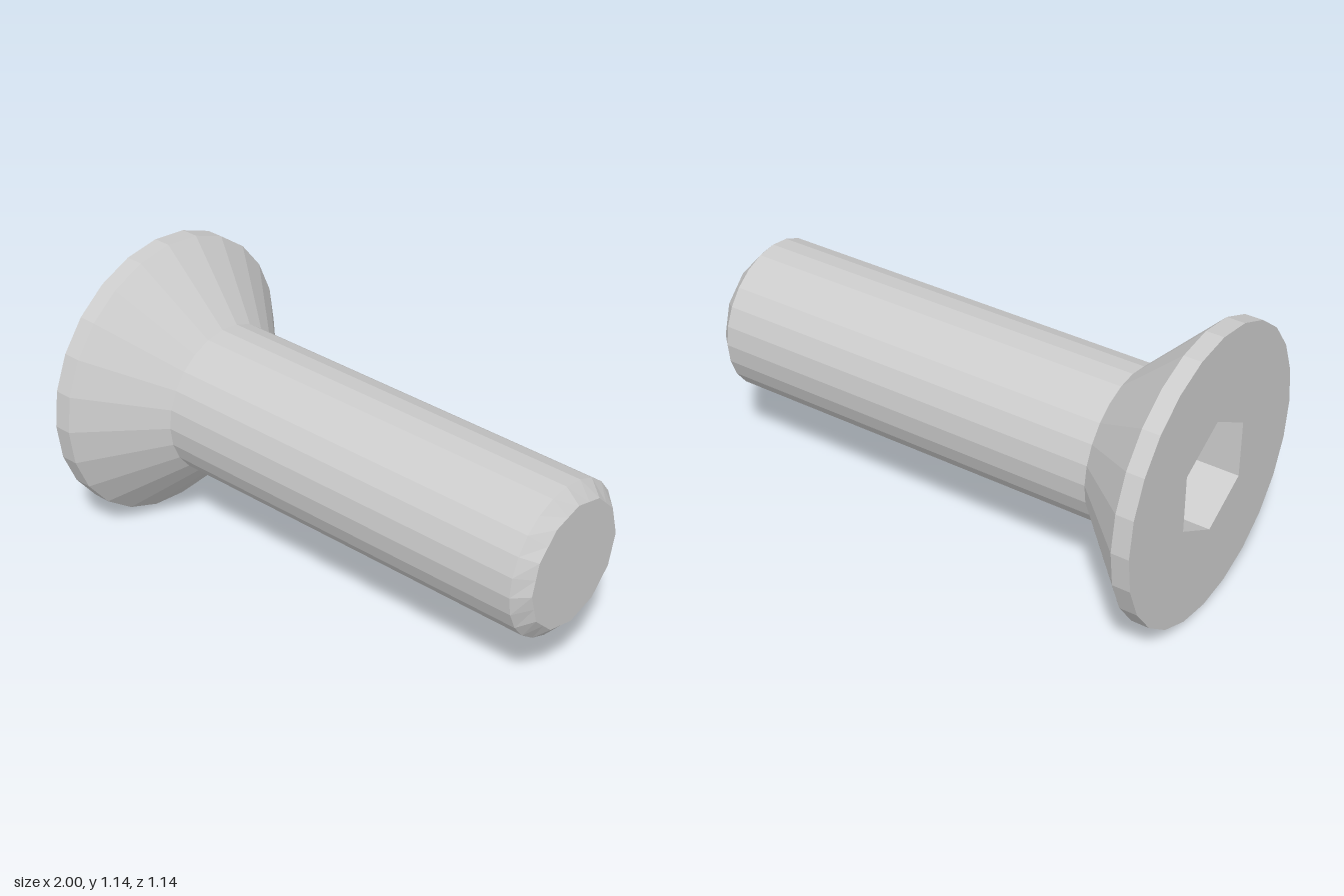
import * as THREE from 'three';

const SIDES = 24;
const HEAD_R = 0.57, SHAFT_R = 0.3, TIP_R = 0.246;
const SOCKET_R = 0.23, SOCKET_DEPTH = 0.25;

// Revolve [radius, x] pairs around the x axis
function revolve(profile, sides, start = 0) {
  const points = profile.map(([r, x]) => new THREE.Vector2(r, x));
  return new THREE.LatheGeometry(points, sides, start).rotateZ(-Math.PI / 2);
}

// Regular polygon outline
function polygon(radius, sides, start = 0) {
  return Array.from({ length: sides }, (_, i) => {
    const a = start + (i / sides) * Math.PI * 2;
    return new THREE.Vector2(radius * Math.cos(a), radius * Math.sin(a));
  });
}

export function createModel() {
  const material = new THREE.MeshStandardMaterial({ color: 0xcccccc, flatShading: true });
  const screw = new THREE.Group();
  screw.name = 'countersunkScrew';

  const add = (name, geometry) => {
    const mesh = new THREE.Mesh(geometry, material);
    mesh.name = name;
    mesh.position.y = HEAD_R;
    screw.add(mesh);
  };

  // Head: short rim and countersunk cone
  add('head', revolve([[HEAD_R, -1], [HEAD_R, -0.93], [SHAFT_R, -0.66]], SIDES));

  // Flat head face with a hexagonal opening, closing the outer end of the head
  const face = new THREE.Shape(polygon(HEAD_R, SIDES));
  face.holes.push(new THREE.Path(polygon(SOCKET_R, 6, Math.PI / 6)));
  add('headFace', new THREE.ShapeGeometry(face).rotateY(-Math.PI / 2).translate(-1, 0, 0));

  // Hex socket: floor and inward-facing walls
  const floorX = -1 + SOCKET_DEPTH;
  add('hexSocket', revolve([[0, floorX], [SOCKET_R, floorX], [SOCKET_R, -1]], 6, Math.PI / 6));

  // Shaft
  add('shaft', revolve([[SHAFT_R, -0.66], [SHAFT_R, 0.945]], SIDES));

  // Chamfered tip, its end flattened to half as many sides
  const tip = revolve([[SHAFT_R, 0.945], [TIP_R, 1], [0, 1]], SIDES);
  const pos = tip.attributes.position;
  const inset = Math.cos((2 * Math.PI) / SIDES);
  for (let i = 0; i < pos.count; i++) {
    const segment = Math.floor(i / 3);
    if (i % 3 === 1 && segment % 2 === 1) {
      pos.setY(i, pos.getY(i) * inset);
      pos.setZ(i, pos.getZ(i) * inset);
    }
  }
  tip.computeVertexNormals();
  add('tip', tip);

  return screw;
}
